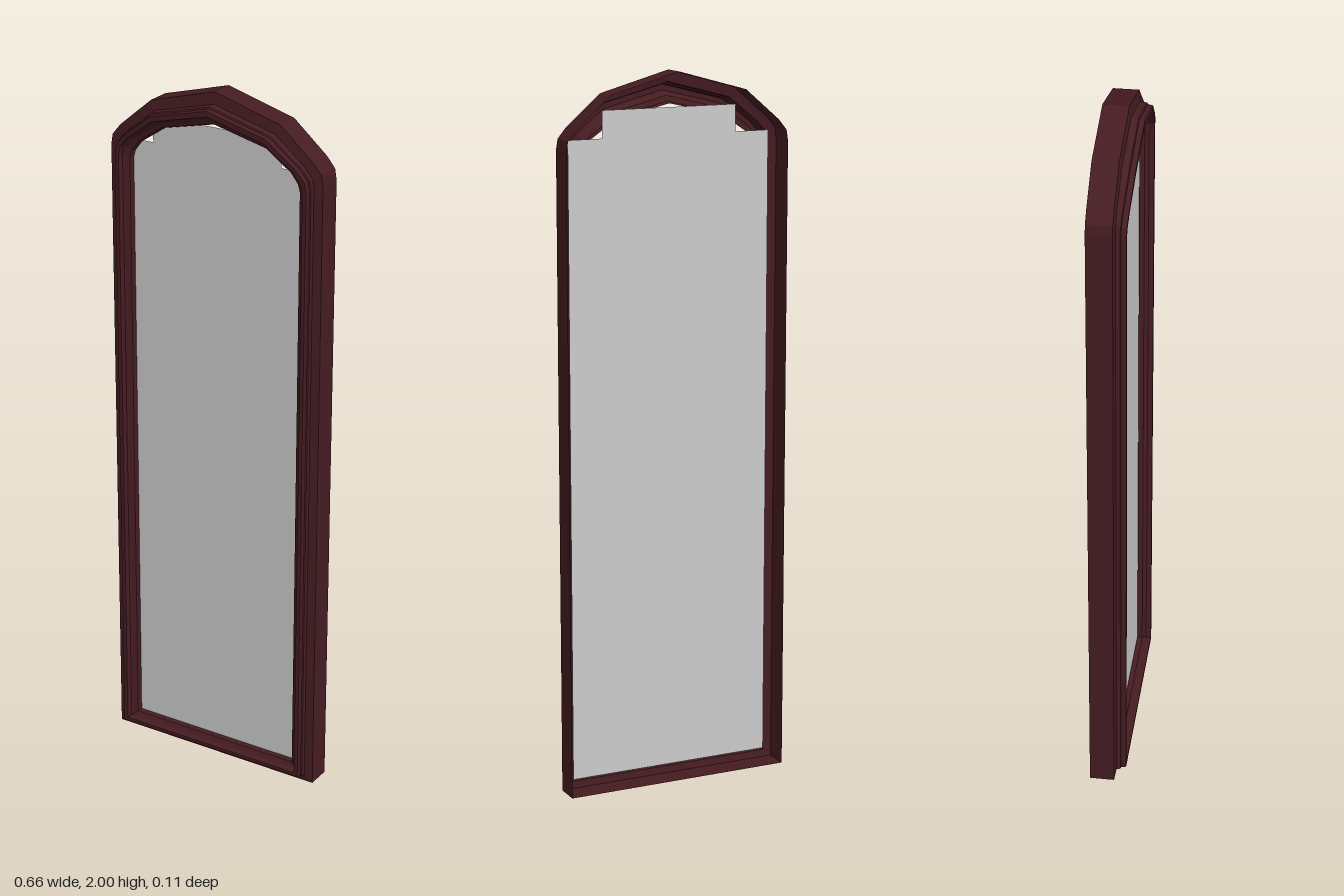
import * as THREE from 'three';

// Right half of the outer and inner outlines, bottom to peak: [x, y, forward swell]
const outer = [[0.33, 0, 0], [0.33, 1.8, 0], [0.325, 1.83, 0.001], [0.3, 1.86, 0.003], [0.2, 1.945, 0.008], [0, 2, 0.008]];
const inner = [[0.262, 0.055, 0], [0.262, 1.775, 0], [0.256, 1.795, 0.001], [0.235, 1.822, 0.003], [0.16, 1.873, 0.008], [0, 1.91, 0.008]];

// Moulding section from the back edge to the inner lip: [inward fraction, z]
const section = [[0, -0.055], [0, 0.015], [0.36, 0.019], [0.39, 0.03], [0.44, 0.032], [0.47, 0.046],
  [0.64, 0.046], [0.7, 0.032], [0.78, 0.028], [0.95, 0.022], [1, 0.008]];

// Full counter-clockwise loop from a right half
const mirrorLoop = (half) => [...half, ...half.slice(0, -1).reverse().map(([x, y, s]) => [-x, y, s])];

// Sweeps the section round the outline, leaving the back open
function frameGeometry() {
  const a = mirrorLoop(outer), b = mirrorLoop(inner), n = a.length;
  const pos = [], idx = [];
  section.forEach(([t, z]) => {
    a.forEach(([x, y, s], i) => {
      const swell = t > 0.37 && t < 0.75 ? s : 0;
      pos.push(x + (b[i][0] - x) * t, y + (b[i][1] - y) * t, z + swell);
    });
  });
  for (let j = 0; j < section.length - 1; j++) {
    for (let i = 0; i < n; i++) {
      const k = (i + 1) % n, p = j * n + i, q = j * n + k;
      idx.push(p, q, q + n, p, q + n, p + n);
    }
  }
  const g = new THREE.BufferGeometry();
  g.setAttribute('position', new THREE.Float32BufferAttribute(pos, 3));
  g.setIndex(idx);
  const flat = g.toNonIndexed();
  flat.computeVertexNormals();
  return flat;
}

export function createModel() {
  const group = new THREE.Group();
  group.name = 'archedMirror';

  // Arched moulded frame
  const frame = new THREE.Mesh(frameGeometry(), new THREE.MeshStandardMaterial({
    color: 0x451c22, flatShading: true, side: THREE.DoubleSide,
  }));
  frame.name = 'frame';

  // Mirror pane with stepped upper corners, set inside the frame
  const half = [[0.3, 0.03], [0.3, 1.825], [0.2, 1.825], [0.2, 1.9]];
  const outline = [...half, ...half.slice().reverse().map(([x, y]) => [-x, y])];
  const shape = new THREE.Shape(outline.map(([x, y]) => new THREE.Vector2(x, y)));
  const pane = new THREE.Mesh(new THREE.ShapeGeometry(shape), new THREE.MeshStandardMaterial({
    color: 0xcccccc, side: THREE.DoubleSide,
  }));
  pane.name = 'mirrorPane';
  pane.position.z = 0.006;

  group.add(frame, pane);
  return group;
}
